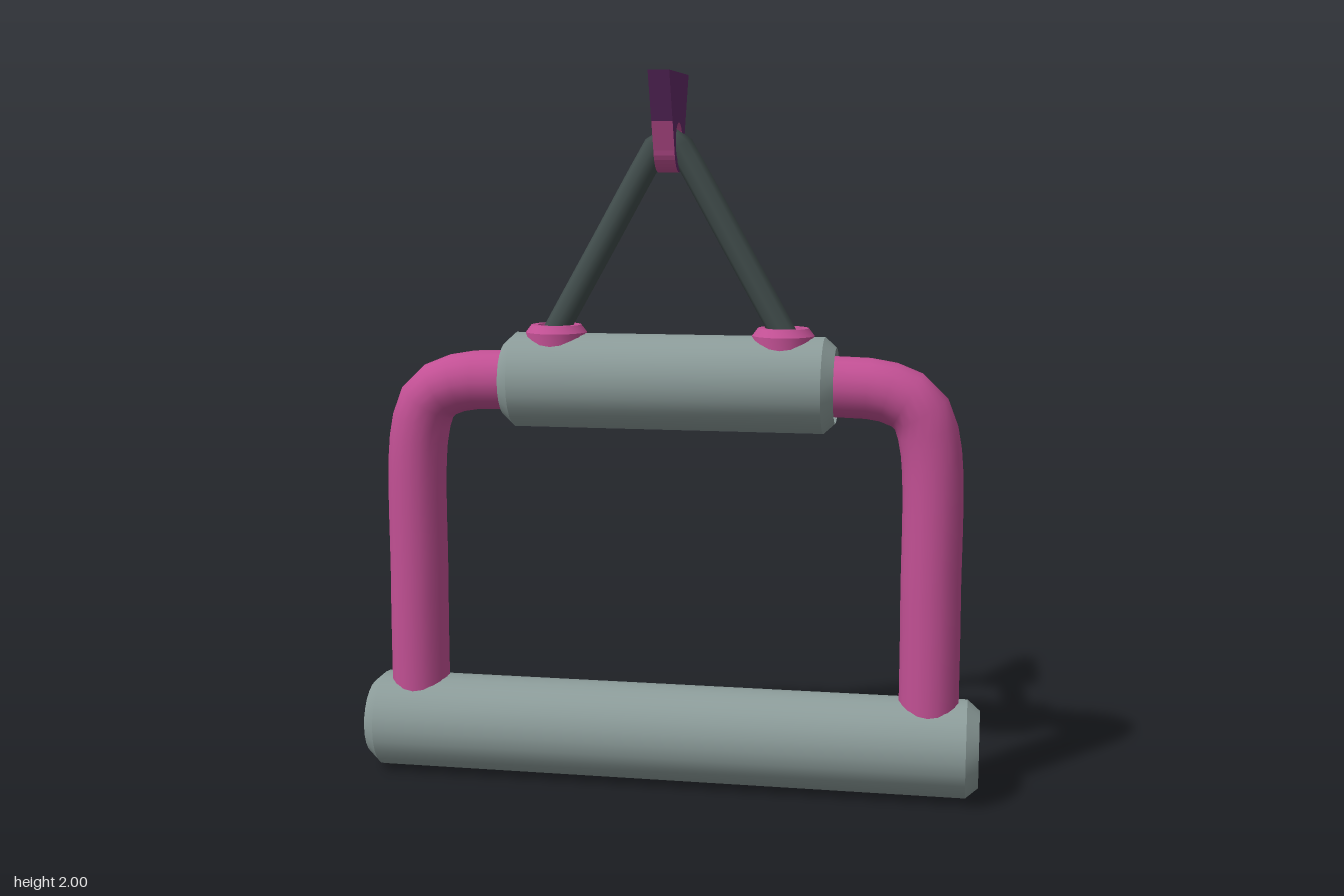
import * as THREE from 'three';
import { toCreasedNormals } from 'three/addons/utils/BufferGeometryUtils.js';

const mat = (name, color, side = THREE.FrontSide) => new THREE.MeshStandardMaterial({ name, color, side });
const V = (x, y) => new THREE.Vector2(x, y);

export function createModel() {
  const grey = mat('grey', 0x8c9c9a);
  const pink = mat('pink', 0xc25094);
  const dark = mat('dark cord', 0x424e4d);
  const purple = mat('purple', 0x602a64);
  const model = new THREE.Group();

  const add = (name, geometry, material) => {
    const mesh = new THREE.Mesh(geometry, material);
    mesh.name = name;
    model.add(mesh);
    return mesh;
  };
  const lathe = (points, segments = 24) =>
    toCreasedNormals(new THREE.LatheGeometry(points.map(p => V(...p)), segments), 0.6);
  const tube = (points, radius, segments, sides) => {
    const curve = new THREE.CatmullRomCurve3(points.map(([x, y]) => new THREE.Vector3(x, y, 0)), false, 'centripetal');
    return new THREE.TubeGeometry(curve, segments, radius, sides);
  };
  const mirrorPath = half => [...half, ...half.slice().reverse().map(([x, y]) => [-x, y])];

  // Chamfered perch bar along x
  add('perchBar', lathe([[0.107, -0.88], [0.137, -0.845], [0.137, 0.845], [0.107, 0.88]])
    .rotateZ(Math.PI / 2), grey).position.y = 0.138;

  // Slotted end caps with a coloured slot floor
  for (const s of [-1, 1]) {
    const disc = new THREE.Shape().absarc(0, 0, 0.107, 0, Math.PI * 2);
    const slot = new THREE.Path();
    slot.absarc(0.058, 0, 0.024, -Math.PI / 2, Math.PI / 2);
    slot.absarc(-0.058, 0, 0.024, Math.PI / 2, Math.PI * 1.5);
    slot.closePath();
    disc.holes.push(slot);
    const cap = new THREE.ExtrudeGeometry(disc, { depth: 0.02, bevelEnabled: false, curveSegments: 12 });
    add('endCap', cap.rotateY(s * Math.PI / 2), grey).position.set(s * 0.86, 0.138, 0);
    add('slotFloor', new THREE.BoxGeometry(0.008, 0.06, 0.18), pink).position.set(s * 0.862, 0.138, 0);
  }

  // Bent frame tube
  add('frame', tube(mirrorPath([[-0.738, 0.14], [-0.737, 0.55], [-0.726, 1.0], [-0.69, 1.095],
    [-0.61, 1.138], [-0.45, 1.15]]), 0.084, 60, 18), pink);

  // Hollow-ended sleeve around the top of the frame
  add('sleeve', lathe([[0.08, -0.44], [0.097, -0.44], [0.105, -0.467], [0.134, -0.435],
    [0.134, 0.435], [0.105, 0.467], [0.097, 0.44], [0.08, 0.44]]).rotateZ(Math.PI / 2), grey).position.y = 1.152;

  // Collars where the cord enters the sleeve
  for (const s of [-1, 1]) {
    add('cordCollar', lathe([[0.086, 1.2], [0.086, 1.288], [0.07, 1.309], [0.052, 1.309],
      [0.046, 1.289], [0, 1.289]], 18), pink).position.x = s * 0.32;
  }

  // Cord looped through the hanger
  add('cord', tube(mirrorPath([[-0.345, 1.25], [-0.19, 1.525], [-0.045, 1.782], [-0.018, 1.822]]),
    0.036, 32, 8), dark);

  // Hanger plate: wide upper part, rounded lower part with a coloured rim
  const plate = shape => new THREE.ExtrudeGeometry(shape, { depth: 0.058, bevelEnabled: false, curveSegments: 16 })
    .translate(0, 0, -0.029).rotateY(Math.PI / 2);
  const split = 1.868;
  add('hangerTop', plate(new THREE.Shape([V(-0.103, split), V(0.103, split), V(0.155, 2), V(-0.155, 2)])), purple);
  const lower = new THREE.Shape();
  lower.moveTo(0.103, split);
  lower.lineTo(-0.103, split);
  lower.lineTo(-0.073, 1.79);
  lower.bezierCurveTo(-0.055, 1.712, 0.055, 1.712, 0.073, 1.79);
  lower.closePath();
  lower.holes.push(new THREE.Path().absarc(0, 1.813, 0.053, 0, Math.PI * 2));
  add('hangerEye', plate(lower), [purple, pink]);

  return model;
}
